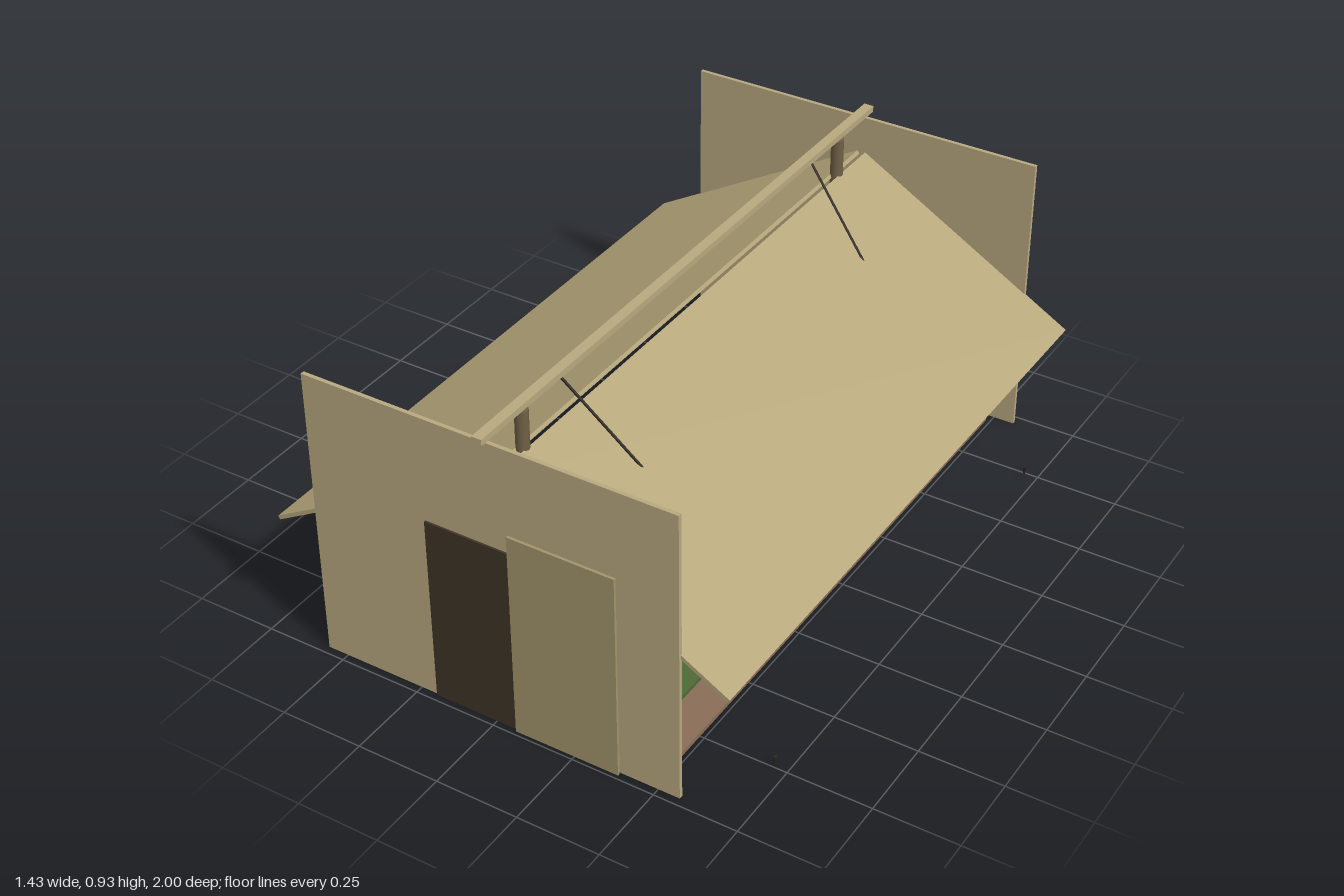
import * as THREE from 'three';

const mat = (color) => new THREE.MeshStandardMaterial({ color });

export function createModel() {
  const model = new THREE.Group();
  const wood = mat(0xb8a97f), hide = mat(0xb5a67a), leafTan = mat(0xa3946a);
  const dark = mat(0x3f3428), postBrown = mat(0x6f6045), earth = mat(0x8a6e56);
  const green = mat(0x4f6a35), legBrown = mat(0x40362a), rope = mat(0x2b261f);

  const add = (name, geometry, material, x, y, z, parent = model) => {
    const mesh = new THREE.Mesh(geometry, material);
    mesh.name = name;
    mesh.position.set(x, y, z);
    parent.add(mesh);
    return mesh;
  };
  const box = (name, w, h, d, material, x, y, z, parent) =>
    add(name, new THREE.BoxGeometry(w, h, d), material, x, y, z, parent);

  // Thin rod between two points
  const rod = (name, a, b, r, material) => {
    const dir = b.clone().sub(a);
    const mid = a.clone().add(b).multiplyScalar(0.5);
    const mesh = add(name, new THREE.CylinderGeometry(r, r, dir.length(), 6), material, mid.x, mid.y, mid.z);
    mesh.quaternion.setFromUnitVectors(new THREE.Vector3(0, 1, 0), dir.normalize());
  };

  // Bench: flat top on four legs
  const bench = (x, z) => {
    const g = new THREE.Group();
    g.name = 'bench';
    g.position.set(x, 0, z);
    model.add(g);
    box('benchTop', 0.25, 0.012, 0.58, green, 0, 0.099, 0, g);
    for (const sx of [-1, 1]) for (const sz of [-1, 1])
      add('benchLeg', new THREE.CylinderGeometry(0.007, 0.007, 0.093, 8), legBrown, sx * 0.105, 0.0465, sz * 0.258, g);
  };

  // Floor and ridge beam
  box('floor', 0.974, 0.013, 1.87, earth, 0, 0.0065, 0);
  box('ridgeBeam', 0.03, 0.019, 2, wood, 0, 0.9215, 0);

  // Doorway and door leaf, swung aside
  box('doorway', 0.262, 0.583, 0.008, dark, -0.065, 0.2935, 0.978);
  box('doorLeaf', 0.32, 0.645, 0.008, leafTan, 0.225, 0.3225, 0.984);

  for (const s of [-1, 1]) {
    // End wall and centre post
    box('endWall', 1.13, 0.905, 0.012, wood, 0, 0.4525, s * 0.97);
    add('ridgePost', new THREE.CylinderGeometry(0.019, 0.02, 0.905, 16), postBrown, 0, 0.4525, s * 0.81);

    // Sloping roof panel
    const panel = box('roofPanel', 0.8, 0.012, 1.936, hide, s * 0.356, 0.585, 0);
    panel.rotation.z = -s * Math.PI / 6;

    // Benches along each side
    bench(s * 0.302, 0.489);
    bench(s * 0.302, -0.482);

    for (const t of [-1, 1]) {
      // Guy rope from the ridge down through the roof, and ground stake
      rod('guyRope', new THREE.Vector3(0, 0.913, t * 0.645), new THREE.Vector3(s * 0.4, 0.46, t * 0.545), 0.004, rope);
      add('groundStake', new THREE.CylinderGeometry(0.006, 0.002, 0.03, 6), rope, s * 0.709, 0.015, t * 0.742);
    }
  }
  return model;
}
